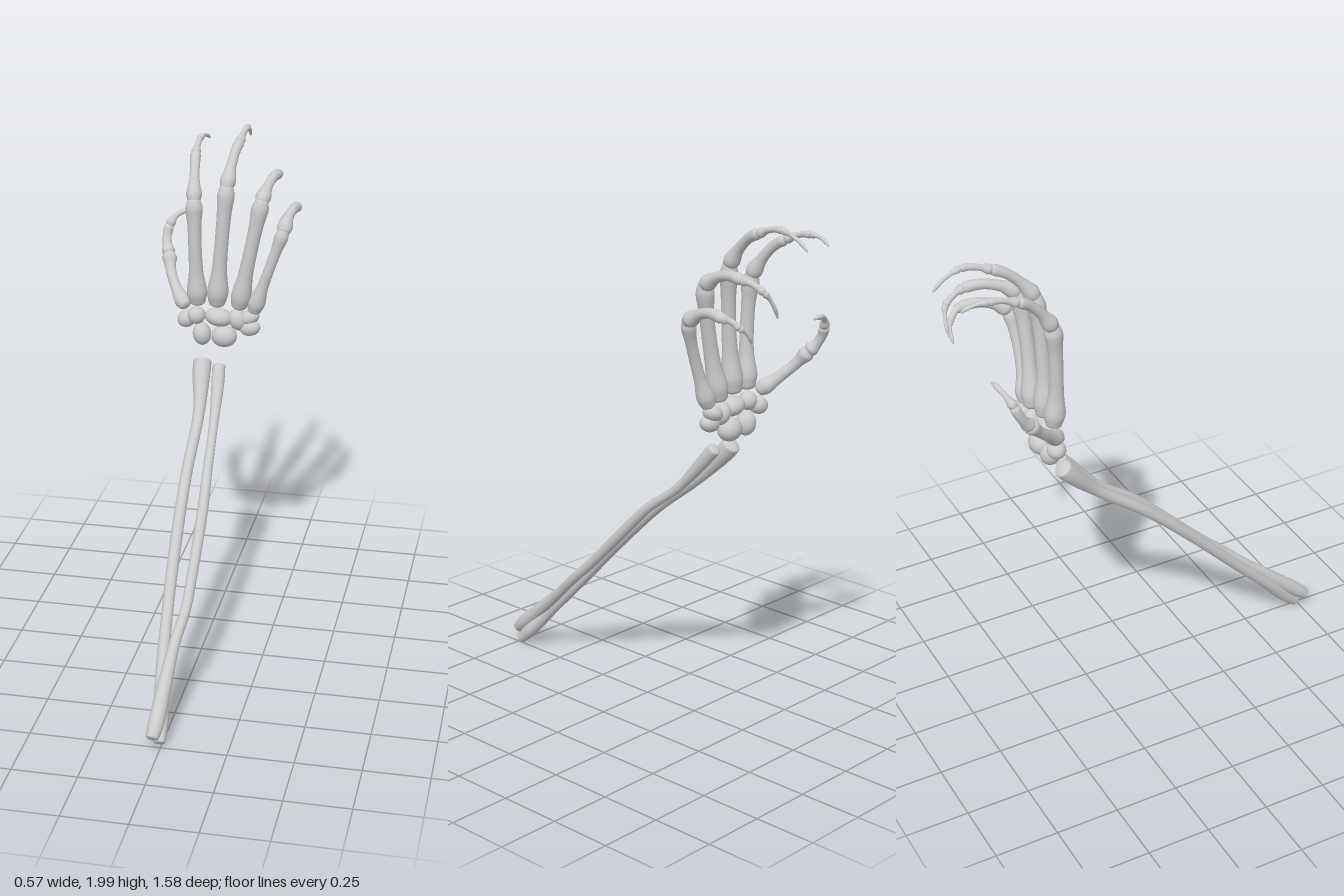
import * as THREE from 'three';

const material = new THREE.MeshStandardMaterial({ color: 0xcccccc, roughness: 0.8 });

// Loft a round bone along points [x, y, z, radius] with softly domed ends.
function bone(name, pts, dome = 0.5, sides = 14) {
  const curve = new THREE.CatmullRomCurve3(pts.map(p => new THREE.Vector3(p[0], p[1], p[2])));
  const radii = new THREE.CatmullRomCurve3(pts.map((p, i) => new THREE.Vector3(p[3], i, 0)));
  const steps = (pts.length - 1) * 5;
  const rings = [];
  const capSteps = 4;
  const addCap = (t, sign) => {
    const tan = curve.getTangent(t), r = radii.getPoint(t).x;
    for (let k = 1; k <= capSteps; k++) {
      const a = (k / capSteps) * Math.PI / 2;
      const pos = curve.getPoint(t).addScaledVector(tan, sign * dome * r * Math.sin(a));
      rings.push({ pos, tan, r: Math.max(r * Math.cos(a), 1e-5) });
    }
  };
  addCap(0, -1);
  rings.reverse();
  for (let i = 0; i <= steps; i++) {
    const t = i / steps;
    rings.push({ pos: curve.getPoint(t), tan: curve.getTangent(t), r: radii.getPoint(t).x });
  }
  addCap(1, 1);

  // Reference axis least aligned with the bone keeps the rings untwisted
  const d = curve.getPoint(1).sub(curve.getPoint(0));
  const ref = Math.abs(d.x) < 0.6 * d.length() ? new THREE.Vector3(1, 0, 0) : new THREE.Vector3(0, 1, 0);
  const pos = [], idx = [];
  rings.forEach(({ pos: c, tan, r }) => {
    const u = ref.clone().cross(tan).normalize(), v = tan.clone().cross(u);
    for (let j = 0; j < sides; j++) {
      const a = (j / sides) * Math.PI * 2;
      const p = c.clone().addScaledVector(u, r * Math.cos(a)).addScaledVector(v, r * Math.sin(a));
      pos.push(p.x, p.y, p.z);
    }
  });
  for (let i = 0; i < rings.length - 1; i++) {
    for (let j = 0; j < sides; j++) {
      const a = i * sides + j, b = i * sides + (j + 1) % sides;
      idx.push(a, b, b + sides, a, b + sides, a + sides);
    }
  }
  const g = new THREE.BufferGeometry();
  g.setAttribute('position', new THREE.Float32BufferAttribute(pos, 3));
  g.setIndex(idx);
  g.computeVertexNormals();
  const mesh = new THREE.Mesh(g, material);
  mesh.name = name;
  return mesh;
}

// Straight-ish bone between two joints: flared ends, slim shaft, optional bow
function segment(name, a, b, r0, rMid, r1, bow = [0, 0, 0]) {
  const at = (t, r) => [0, 1, 2].map(k => a[k] + (b[k] - a[k]) * t + bow[k] * 4 * t * (1 - t)).concat(r);
  return bone(name, [
    at(0, r0 * 0.8), at(0.1, r0), at(0.3, rMid * 1.1), at(0.58, rMid),
    at(0.78, rMid * 1.06), at(0.93, r1), at(1, r1 * 0.8),
  ]);
}

// Each digit: wrist joint, knuckle, further joints, tip
const digits = {
  index: {
    joints: [[-0.1, 1.345, -0.41], [-0.115, 1.755, -0.41], [-0.137, 1.905, -0.55], [-0.14, 1.938, -0.66], [-0.122, 1.915, -0.755]],
    palm: [0.04, 0.026, 0.034],
  },
  middle: {
    joints: [[-0.022, 1.345, -0.41], [0.013, 1.815, -0.415], [0.035, 1.955, -0.57], [0.045, 1.985, -0.68], [0.038, 1.925, -0.79]],
    palm: [0.042, 0.027, 0.034],
  },
  ring: {
    joints: [[0.065, 1.335, -0.42], [0.15, 1.765, -0.42], [0.182, 1.82, -0.62], [0.157, 1.785, -0.7], [0.1, 1.69, -0.716]],
    palm: [0.04, 0.027, 0.034],
  },
  little: {
    joints: [[0.125, 1.32, -0.42], [0.237, 1.65, -0.42], [0.262, 1.695, -0.605], [0.232, 1.665, -0.655], [0.18, 1.605, -0.668]],
    palm: [0.034, 0.021, 0.028],
  },
};

function finger(name, { joints: j, palm }) {
  const g = new THREE.Group();
  g.name = name + 'Finger';
  g.add(segment(name + 'Metacarpal', j[0], j[1], ...palm, [0, 0, 0.012]));
  g.add(segment(name + 'ProximalPhalanx', j[1], j[2], 0.031, 0.019, 0.021, [0, 0.026, 0]));
  g.add(segment(name + 'MiddlePhalanx', j[2], j[3], 0.019, 0.0115, 0.014, [0, 0.008, 0]));
  g.add(segment(name + 'DistalPhalanx', j[3], j[4], 0.0125, 0.007, 0.005, [0, 0.009, -0.006]));
  return g;
}

function thumb() {
  const j = [[-0.155, 1.32, -0.425], [-0.25, 1.475, -0.575], [-0.262, 1.575, -0.635], [-0.16, 1.63, -0.672]];
  const g = new THREE.Group();
  g.name = 'thumb';
  g.add(segment('thumbMetacarpal', j[0], j[1], 0.032, 0.021, 0.03, [-0.015, -0.006, 0]));
  g.add(segment('thumbProximalPhalanx', j[1], j[2], 0.027, 0.018, 0.02, [-0.012, 0, -0.008]));
  g.add(segment('thumbDistalPhalanx', j[2], j[3], 0.019, 0.01, 0.006, [-0.012, 0.02, -0.008]));
  return g;
}

// Wrist pebbles: centre, radii, tilt about z
const carpals = [
  [[0.005, 1.2, -0.42], [0.052, 0.044, 0.042], 0],
  [[-0.085, 1.205, -0.42], [0.037, 0.047, 0.04], 0.15],
  [[-0.015, 1.283, -0.41], [0.056, 0.036, 0.045], -0.15],
  [[-0.148, 1.262, -0.425], [0.038, 0.034, 0.036], 0.4],
  [[-0.105, 1.285, -0.41], [0.036, 0.036, 0.036], 0],
  [[0.06, 1.275, -0.42], [0.036, 0.045, 0.042], 0.4],
  [[0.11, 1.245, -0.415], [0.042, 0.032, 0.034], 0.2],
  [[0.105, 1.285, -0.425], [0.042, 0.03, 0.036], 0.4],
];

export function createModel() {
  const model = new THREE.Group();
  model.name = 'skeletonArm';

  // Forearm: two long bones that cross near the elbow
  const forearm = new THREE.Group();
  forearm.name = 'forearm';
  forearm.add(bone('outerForearmBone', [
    [-0.071, 1.11, -0.363, 0.036], [-0.068, 1.065, -0.325, 0.035], [-0.055, 0.95, -0.215, 0.023],
    [-0.06, 0.78, 0, 0.022], [-0.058, 0.58, 0.21, 0.023], [-0.05, 0.38, 0.4, 0.022],
    [-0.034, 0.2, 0.575, 0.024], [-0.014, 0.09, 0.675, 0.028], [-0.006, 0.028, 0.738, 0.022],
  ], 0.25));
  forearm.add(bone('innerForearmBone', [
    [0, 1.105, -0.34, 0.026], [0.006, 1.04, -0.285, 0.025], [0.012, 0.92, -0.175, 0.018],
    [0.02, 0.8, -0.02, 0.019], [0.025, 0.68, 0.1, 0.021], [0.023, 0.5, 0.28, 0.02],
    [0.019, 0.4, 0.39, 0.02], [-0.001, 0.31, 0.49, 0.021], [-0.013, 0.2, 0.615, 0.027],
    [-0.02, 0.105, 0.725, 0.03], [-0.025, 0.065, 0.772, 0.024],
  ], 0.25));
  model.add(forearm);

  // Wrist
  const wrist = new THREE.Group();
  wrist.name = 'wrist';
  carpals.forEach(([c, s, tilt], i) => {
    const m = new THREE.Mesh(new THREE.SphereGeometry(1, 18, 12), material);
    m.position.set(...c);
    m.scale.set(...s);
    m.rotation.z = tilt;
    m.name = 'carpal' + (i + 1);
    wrist.add(m);
  });
  model.add(wrist);

  // Hand
  const hand = new THREE.Group();
  hand.name = 'hand';
  for (const [name, spec] of Object.entries(digits)) hand.add(finger(name, spec));
  hand.add(thumb());
  model.add(hand);

  return model;
}
